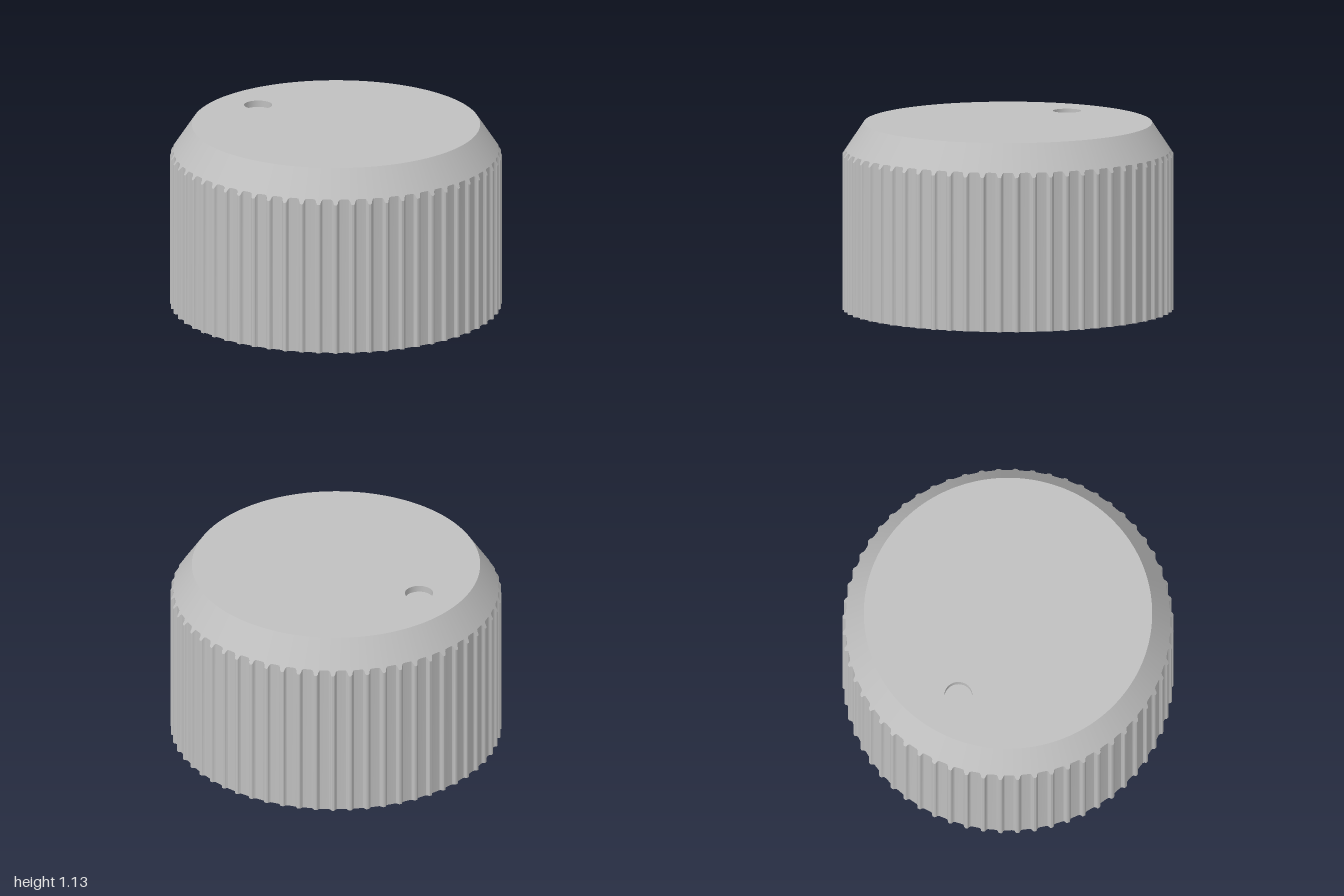
import * as THREE from 'three';
import { toCreasedNormals, mergeGeometries } from 'three/addons/utils/BufferGeometryUtils.js';

const RIBS = 60, TOP = 1.135, TOP_R = 0.87, CORE_R = 0.98;
const PITCH = (Math.PI * 2) / RIBS;
// rib section: [sideways offset, radius], from one groove to the next
const RIB = [[-0.034, CORE_R], [-0.023, 0.981], [-0.016, 0.987], [-0.012, 0.996], [-0.006, 1],
  [0.006, 1], [0.012, 0.996], [0.016, 0.987], [0.023, 0.981], [0.034, CORE_R]];

// closed wall between two rings of points
function loft(lower, upper) {
  const n = lower.length, pos = [], index = [];
  for (const p of [...lower, ...upper]) pos.push(p.x, p.y, p.z);
  for (let i = 0; i < n; i++) {
    const j = (i + 1) % n;
    index.push(i, j, n + j, i, n + j, n + i);
  }
  const g = new THREE.BufferGeometry();
  g.setAttribute('position', new THREE.Float32BufferAttribute(pos, 3));
  g.setIndex(index);
  return toCreasedNormals(g, 0.5);
}

// flat face filling a ring, with an optional hole, facing up or down
function cap(ring, hole, up) {
  const s = up ? -1 : 1;
  const flat = (r) => r.map((p) => new THREE.Vector2(p.x, s * p.z));
  const shape = new THREE.Shape(flat(ring));
  if (hole) shape.holes.push(new THREE.Path(flat(hole)));
  const g = new THREE.ShapeGeometry(shape).rotateX((s * Math.PI) / 2).translate(0, ring[0].y, 0);
  g.deleteAttribute('uv');
  return g.toNonIndexed();
}

const atHeight = (ring, y) => ring.map((p) => new THREE.Vector3(p.x, y, p.z));

export function createModel() {
  const group = new THREE.Group();
  group.name = 'controlKnob';
  const grey = new THREE.MeshStandardMaterial({ color: 0xbfbfbf });
  grey.name = 'knob grey';
  const add = (name, ...parts) => {
    const mesh = new THREE.Mesh(mergeGeometries(parts), grey);
    mesh.name = name;
    group.add(mesh);
  };

  // ribbed outline, its upper edge cut by the bevel cone, and the top rim
  const base = [], shoulder = [], rim = [];
  for (let i = 0; i < RIBS; i++) {
    for (const [offset, r] of RIB) {
      const a = (i + 0.5) * PITCH + offset / CORE_R;
      const x = Math.sin(a), z = Math.cos(a);
      base.push(new THREE.Vector3(x * r, 0, z * r));
      shoulder.push(new THREE.Vector3(x * r, TOP - (r - TOP_R) * 1.5, z * r));
      rim.push(new THREE.Vector3(x * TOP_R, TOP, z * TOP_R));
    }
  }
  add('ribbedSkirt', loft(base, shoulder));
  add('bevel', loft(shoulder, rim));

  // round pointer dimple in the top face
  const dimple = [];
  for (let i = 0; i < 48; i++) {
    const a = (-i / 48) * Math.PI * 2;
    dimple.push(new THREE.Vector3(0.085 * Math.sin(a), TOP, -0.605 + 0.085 * Math.cos(a)));
  }
  const dimpleFloor = atHeight(dimple, TOP - 0.04);
  add('topFace', cap(rim, dimple, true));
  add('pointerDimple', loft(dimpleFloor, dimple), cap(dimpleFloor, null, true));

  // D-shaped shaft bore in the underside, flat side at +x
  const bore = [], start = Math.acos(0.11 / 0.2);
  for (let i = 0; i <= 40; i++) {
    const a = start + (i / 40) * (Math.PI * 2 - 2 * start);
    bore.push(new THREE.Vector3(0.2 * Math.cos(a), 0, 0.2 * Math.sin(a)));
  }
  const boreEnd = atHeight(bore, 0.8);
  add('underside', cap(base, bore, false));
  add('shaftBore', loft(bore, boreEnd), cap(boreEnd, null, false));

  return group;
}
